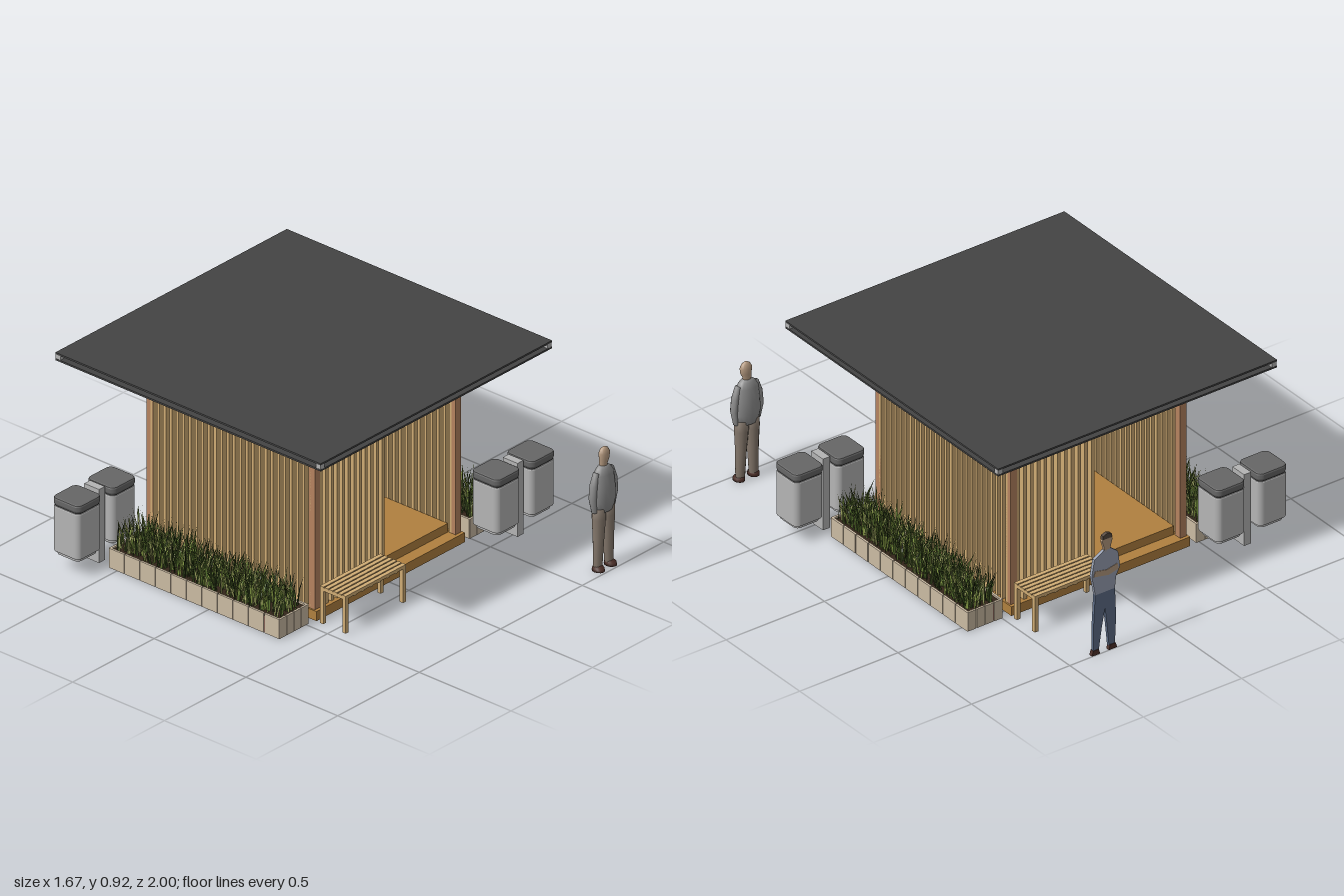
import * as THREE from 'three';

const CX = 0.005, CZ = -0.077; // centre of the half-turn symmetry
const mat = (color, extra = {}) => new THREE.MeshStandardMaterial({ color, ...extra });
const M = {
  roof: mat(0x444444), steel: mat(0xb4b4b4), lid: mat(0x666666), wood: mat(0xd0ac74), post: mat(0xb5835f),
  deck: mat(0xb0803f), panel: mat(0xcbbba3), red: mat(0x6b1015), soil: mat(0x33261a), dark: mat(0x333333),
  skin: mat(0xb59a80), shirt: mat(0x8e8e8e), trousers: mat(0x85786c), shoes: mat(0x4d3029),
  blueShirt: mat(0x98a0b2), jeans: mat(0x5d6c86), hair: mat(0x55483e),
};

function add(parent, name, geo, material, x = 0, y = 0, z = 0) {
  const m = new THREE.Mesh(geo, material);
  m.name = name;
  m.position.set(x, y, z);
  parent.add(m);
  return m;
}

// Box given by its limits on each axis
function box(parent, name, material, x0, x1, y0, y1, z0, z1) {
  return add(parent, name, new THREE.BoxGeometry(x1 - x0, y1 - y0, z1 - z0), material,
    (x0 + x1) / 2, (y0 + y1) / 2, (z0 + z1) / 2);
}

function group(parent, name) {
  const g = new THREE.Group();
  g.name = name;
  parent.add(g);
  return g;
}

function seeded(s) {
  return () => (s = (s * 16807) % 2147483647) / 2147483647;
}

// Smooth body through elliptical sections [y, x, z, rx, rz]
function loft(sections, n = 16) {
  const pos = [], idx = [];
  const rings = [[...sections[0].slice(0, 3), 0, 0], ...sections, [...sections.at(-1).slice(0, 3), 0, 0]];
  for (const [y, x, z, rx, rz] of rings)
    for (let i = 0; i < n; i++) {
      const a = (i / n) * Math.PI * 2;
      pos.push(x + rx * Math.sin(a), y, z + rz * Math.cos(a));
    }
  for (let r = 0; r < rings.length - 1; r++)
    for (let i = 0; i < n; i++) {
      const a = r * n + i, b = r * n + (i + 1) % n;
      idx.push(a, b, a + n, b, b + n, a + n);
    }
  const g = new THREE.BufferGeometry();
  g.setAttribute('position', new THREE.Float32BufferAttribute(pos, 3));
  g.setIndex(idx);
  g.computeVertexNormals();
  return g;
}

// Slatted front wall, side wall and corner posts of one half
function walls(p) {
  for (let i = 0; i < 12; i++) {
    const x = -0.402 + i * 0.0345;
    box(p, 'frontSlat', M.wood, x - 0.008, x + 0.008, 0.045, 0.882, 0.345, 0.38);
  }
  box(p, 'frontRail', M.wood, -0.41, 0.42, 0.868, 0.882, 0.355, 0.37);
  for (let i = 0; i < 26; i++) {
    const z = -0.507 + i * 0.0344;
    box(p, 'sideSlat', M.wood, -0.443, -0.41, 0.045, 0.857, z - 0.007, z + 0.007);
  }
  box(p, 'sideBeam', M.wood, -0.445, -0.408, 0.855, 0.885, -0.537, 0.383);
  for (const z of [0.365, -0.519])
    box(p, 'cornerPost', M.post, -0.443, -0.41, 0.045, 0.855, z - 0.016, z + 0.016);
}

// Planter with separate facing panels and dense grass
function planter(p, seed) {
  const x0 = -0.665, x1 = -0.485, z0 = -0.545, z1 = 0.385;
  box(p, 'planterCore', M.red, x0 + 0.004, x1 - 0.004, 0.001, 0.075, z0 + 0.004, z1 - 0.004);
  box(p, 'planterSoil', M.soil, x0 + 0.01, x1 - 0.01, 0.07, 0.082, z0 + 0.01, z1 - 0.01);
  const along = (z1 - z0) / 11, across = (x1 - x0) / 4;
  for (let i = 0; i < 11; i++)
    for (const x of [x0, x1 - 0.01])
      box(p, 'planterPanel', M.panel, x, x + 0.01, 0, 0.09, z0 + i * along + 0.002, z0 + (i + 1) * along - 0.002);
  for (let i = 0; i < 4; i++)
    for (const z of [z0, z1 - 0.01])
      box(p, 'planterPanel', M.panel, x0 + i * across + 0.002, x0 + (i + 1) * across - 0.002, 0, 0.09, z, z + 0.01);

  const rnd = seeded(seed);
  for (const color of [0x34451c, 0x55702c, 0x7f9440, 0xa3a964]) {
    const pos = [];
    for (let i = 0; i < 260; i++) {
      const x = x0 + 0.02 + rnd() * 0.14, z = z0 + 0.02 + rnd() * 0.89;
      const a = rnd() * 6.283, h = 0.06 + rnd() * 0.1, lean = 0.015 + rnd() * 0.03, b = rnd() * 6.283;
      const wx = Math.cos(a) * 0.004, wz = Math.sin(a) * 0.004;
      const tx = Math.min(Math.max(x + Math.cos(b) * lean, x0), x1), tz = z + Math.sin(b) * lean;
      const mx = x + (tx - x) * 0.3, mz = z + (tz - z) * 0.3, my = 0.08 + h * 0.55;
      pos.push(x - wx, 0.08, z - wz, x + wx, 0.08, z + wz, mx + wx, my, mz + wz,
        x - wx, 0.08, z - wz, mx + wx, my, mz + wz, mx - wx, my, mz - wz,
        mx - wx, my, mz - wz, mx + wx, my, mz + wz, tx, 0.08 + h, tz);
    }
    const g = new THREE.BufferGeometry();
    g.setAttribute('position', new THREE.Float32BufferAttribute(pos, 3));
    g.computeVertexNormals();
    add(p, 'grass', g, mat(color, { side: THREE.DoubleSide }));
  }
}

// Upright prism with rounded corners
function roundedPrism(w, h, r, bevel) {
  const s = new THREE.Shape(), k = w / 2 - r - bevel;
  [[k, k, 0], [-k, k, 1], [-k, -k, 2], [k, -k, 3]].forEach(([x, y, q]) =>
    s.absarc(x, y, r, q * Math.PI / 2, (q + 1) * Math.PI / 2));
  const g = new THREE.ExtrudeGeometry(s, { depth: h - 2 * bevel, bevelThickness: bevel, bevelSize: bevel, bevelSegments: 2, curveSegments: 5 });
  return g.rotateX(-Math.PI / 2).translate(0, bevel, 0);
}

// Pair of bins hung on a central plate
function bins(p) {
  const z = -0.64, px = -0.645;
  box(p, 'binStand', M.steel, px - 0.018, px + 0.018, 0, 0.34, z - 0.04, z + 0.04);
  for (const x of [-0.753, -0.54]) {
    add(p, 'binBody', roundedPrism(0.148, 0.212, 0.02, 0.006), M.steel, x, 0.085, z);
    add(p, 'binNeck', roundedPrism(0.14, 0.01, 0.02, 0.001), M.dark, x, 0.294, z);
    add(p, 'binLid', roundedPrism(0.15, 0.034, 0.02, 0.008), M.lid, x, 0.301, z);
    add(p, 'binFoot', roundedPrism(0.125, 0.018, 0.02, 0.003), M.steel, x, 0.07, z);
  }
}

function bench(p) {
  const x0 = -0.45, x1 = -0.08, z0 = 0.415, z1 = 0.555;
  for (const x of [x0, x1 - 0.018])
    for (const z of [z0, z1 - 0.018])
      box(p, 'benchLeg', M.wood, x, x + 0.018, 0, 0.157, z, z + 0.018);
  for (let i = 0; i < 6; i++) {
    const z = z0 + i * 0.0242;
    box(p, 'benchSlat', M.wood, x0, x1, 0.157, 0.172, z, z + 0.019);
  }
  for (let i = 0; i < 8; i++) {
    const x = x0 + i * 0.0507;
    box(p, 'benchCrossBar', M.wood, x, x + 0.015, 0.153, 0.168, z0, z1);
  }
}

// Standing ashtray with a sloping top
function ashStand(p) {
  const s = new THREE.Shape([[-0.255, 0.085], [-0.19, 0.085], [-0.19, 0.443], [-0.2, 0.455], [-0.255, 0.465]]
    .map(([x, y]) => new THREE.Vector2(x, y)));
  add(p, 'ashStand', new THREE.ExtrudeGeometry(s, { depth: 0.065, bevelEnabled: false }), M.steel, 0, 0, 0.082);
  for (const z of [0.09, 0.118])
    box(p, 'ashSlot', M.dark, -0.195, -0.188, 0.4, 0.435, z, z + 0.02);
}

function standingPerson(p) {
  const x = 0.675, z = 0.96;
  add(p, 'head', loft([[0.462, x, z, 0.018, 0.014], [0.485, x, z, 0.02, 0.016], [0.505, x + 0.005, z, 0.026, 0.018],
    [0.53, x + 0.005, z, 0.029, 0.019], [0.548, x + 0.005, z, 0.02, 0.013], [0.556, x + 0.005, z, 0.006, 0.005]]), M.skin);
  add(p, 'torso', loft([[0.27, x, z, 0.056, 0.03], [0.32, x, z, 0.064, 0.038], [0.38, x, z, 0.06, 0.039],
    [0.44, x, z, 0.054, 0.032], [0.465, x, z, 0.036, 0.023], [0.478, x, z, 0.018, 0.014]]), M.shirt);
  for (const s of [-1, 1]) {
    add(p, 'arm', loft([[0.275, x + s * 0.055, z, 0.012, 0.013], [0.34, x + s * 0.066, z, 0.015, 0.018],
      [0.4, x + s * 0.06, z, 0.016, 0.018], [0.452, x + s * 0.045, z, 0.012, 0.014]], 10), M.shirt);
    add(p, 'leg', loft([[0.02, x + s * 0.034, z, 0.021, 0.018], [0.15, x + s * 0.03, z, 0.025, 0.024],
      [0.24, x + s * 0.028, z, 0.031, 0.029], [0.29, x + s * 0.027, z, 0.032, 0.028]], 12), M.trousers);
    add(p, 'shoe', loft([[0.003, x + s * 0.037, z + 0.006, 0.025, 0.03], [0.015, x + s * 0.037, z + 0.005, 0.024, 0.027],
      [0.028, x + s * 0.034, z, 0.016, 0.016]], 12), M.shoes);
  }
}

// Flat cut-out figure behind the building
function cutoutPerson(p) {
  const flat = (name, material, pts, d = 0.014) => add(p, name, new THREE.ExtrudeGeometry(
    new THREE.Shape(pts.map(([x, y]) => new THREE.Vector2(x, y))), { depth: d, bevelEnabled: false }), material, 0, 0, -0.99 - d / 2);
  flat('jeans', M.jeans, [[0.268, 0.02], [0.298, 0.02], [0.308, 0.12], [0.318, 0.21], [0.335, 0.12], [0.35, 0.02],
    [0.378, 0.02], [0.376, 0.15], [0.368, 0.29], [0.268, 0.29], [0.262, 0.15]]);
  flat('shirt', M.blueShirt, [[0.268, 0.285], [0.368, 0.285], [0.378, 0.34], [0.386, 0.38], [0.372, 0.455], [0.325, 0.483],
    [0.287, 0.483], [0.252, 0.455], [0.242, 0.38], [0.262, 0.34]]);
  flat('foldedArms', M.skin, [[0.25, 0.372], [0.3, 0.36], [0.376, 0.375], [0.37, 0.4], [0.31, 0.388], [0.256, 0.4]], 0.018);
  flat('head', M.skin, [[0.292, 0.475], [0.32, 0.475], [0.324, 0.5], [0.332, 0.525], [0.325, 0.545], [0.286, 0.545],
    [0.28, 0.525], [0.288, 0.5]]);
  flat('hair', M.hair, [[0.281, 0.535], [0.331, 0.535], [0.328, 0.552], [0.306, 0.561], [0.285, 0.552]], 0.016);
  for (const x of [0.28, 0.366])
    flat('shoe', M.shoes, [[x - 0.022, 0], [x + 0.02, 0], [x + 0.014, 0.024], [x - 0.014, 0.024]], 0.018);
}

export function createModel() {
  const model = new THREE.Group();
  model.name = 'pavilion';

  // Roof: two plates kept apart by corner blocks
  const roof = group(model, 'roof');
  box(roof, 'roofTop', M.roof, -0.705, 0.715, 0.912, 0.92, -0.8, 0.645);
  box(roof, 'roofUnderside', M.roof, -0.705, 0.715, 0.884, 0.892, -0.8, 0.645);
  for (const x of [-0.704, 0.689])
    for (const z of [-0.799, 0.619])
      box(roof, 'roofCorner', M.steel, x, x + 0.025, 0.891, 0.913, z, z + 0.025);

  // Stepped floor
  const floor = group(model, 'floor');
  box(floor, 'floorBase', M.deck, -0.45, 0.46, 0.001, 0.045, -0.55, 0.396);
  box(floor, 'floorDeck', M.deck, -0.408, 0.418, 0.045, 0.085, -0.495, 0.341);

  // Everything else repeats by a half turn about the centre
  for (let i = 0; i < 2; i++) {
    const half = group(model, i ? 'backHalf' : 'frontHalf');
    walls(group(half, 'walls'));
    planter(group(half, 'planter'), 101 + i * 57);
    bins(group(half, 'bins'));
    bench(group(half, 'bench'));
    ashStand(group(half, 'ashtray'));
    if (i) {
      half.rotation.y = Math.PI;
      half.position.set(2 * CX, 0, 2 * CZ);
    }
  }

  standingPerson(group(model, 'frontPerson'));
  cutoutPerson(group(model, 'backPerson'));
  return model;
}
